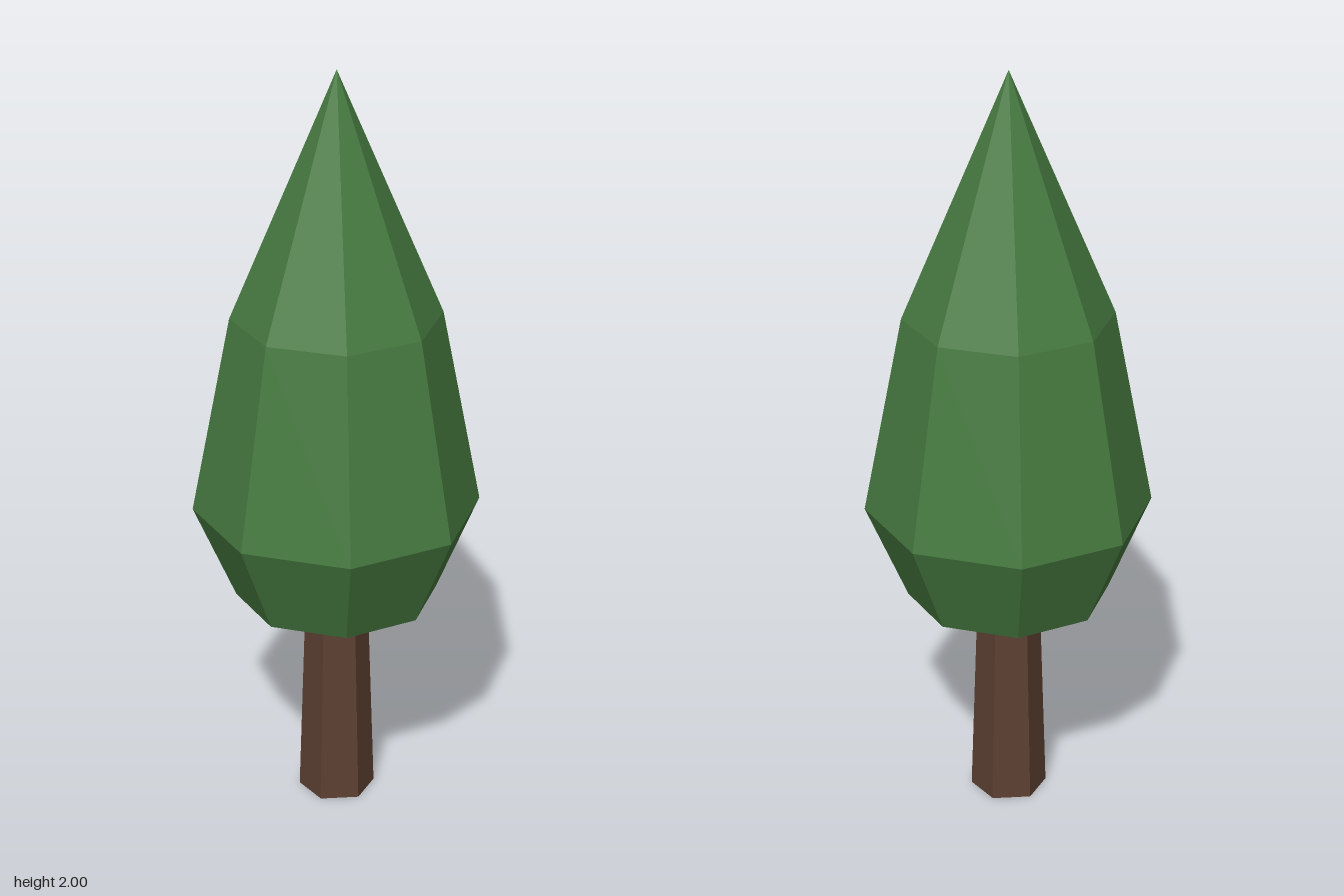
import * as THREE from 'three';

// Give every face its own normal for a faceted look
function faceted(geometry) {
  const flat = geometry.toNonIndexed();
  flat.computeVertexNormals();
  return flat;
}

export function createModel() {
  const tree = new THREE.Group();
  tree.name = 'tree';

  const bark = new THREE.MeshStandardMaterial({ color: 0x5c4033 });
  bark.name = 'brown bark';
  const leaves = new THREE.MeshStandardMaterial({ color: 0x467a40 });
  leaves.name = 'green leaves';

  // Tapered six-sided trunk, with corners on the x axis
  const trunkHeight = 0.6;
  const trunk = new THREE.Mesh(
    faceted(new THREE.CylinderGeometry(0.081, 0.101, trunkHeight, 6, 1, false, Math.PI / 6)),
    bark
  );
  trunk.name = 'trunk';
  trunk.position.y = trunkHeight / 2;
  tree.add(trunk);

  // Eight-sided crown: flat base, flare, long taper and pointed top
  const profile = [[0, 0.588], [0.264, 0.588], [0.373, 0.841], [0.27, 1.365], [0, 2]]
    .map(([r, y]) => new THREE.Vector2(r, y));
  const crown = new THREE.Mesh(
    faceted(new THREE.LatheGeometry(profile, 8, Math.PI / 12)),
    leaves
  );
  crown.name = 'crown';
  tree.add(crown);

  return tree;
}
